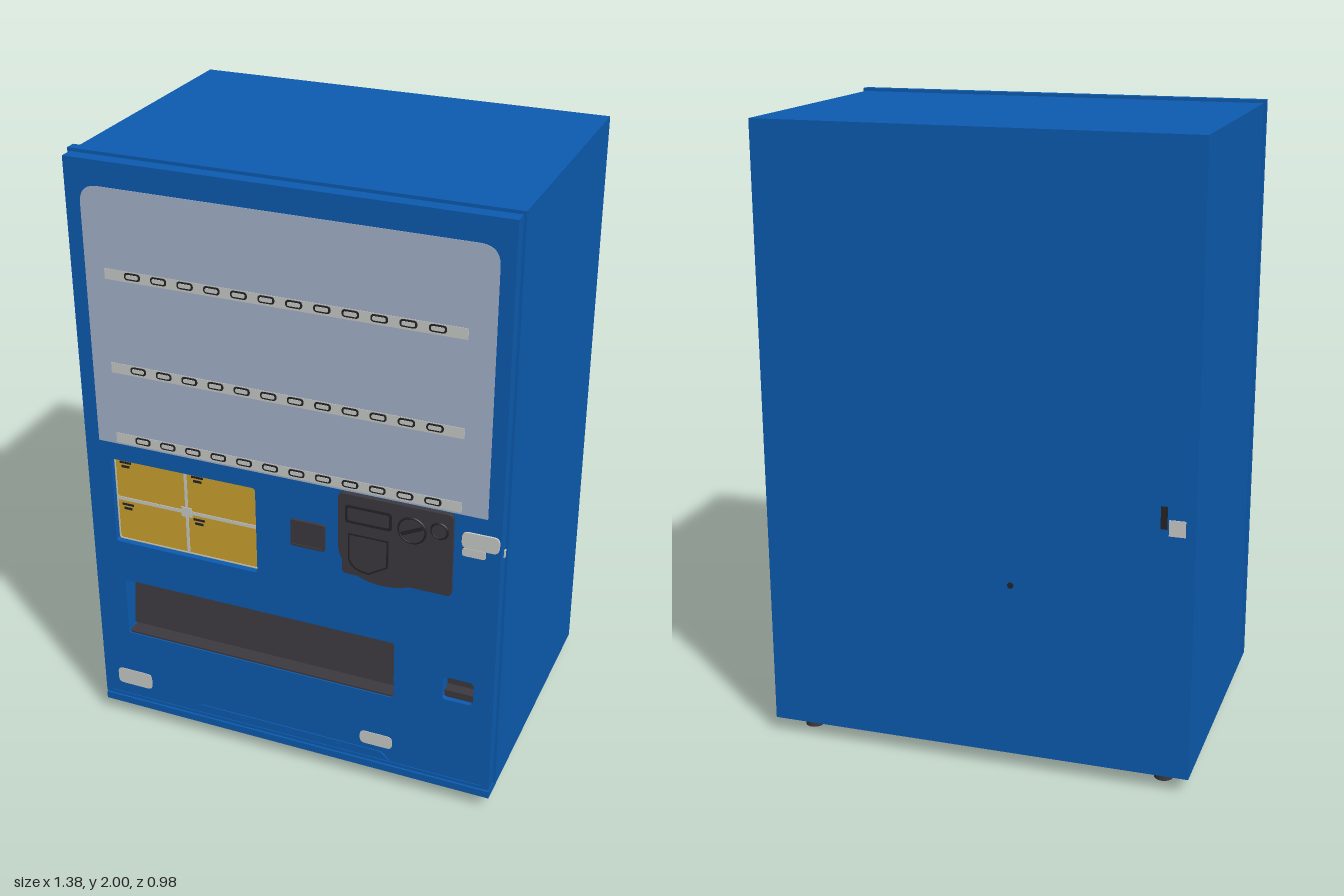
import * as THREE from 'three';

const mat = (name, color) => Object.assign(new THREE.MeshStandardMaterial({ color }), { name });

export function createModel() {
  const blue = mat('cabinetBlue', 0x0c5bb0);
  const glass = mat('windowGlass', 0xa6b4cc);
  const pale = mat('paleTrim', 0xcbcdca);
  const dark = mat('darkPlastic', 0x3c3a3f);
  const black = mat('blackDetail', 0x242326);
  const yellow = mat('yellowPanel', 0xcda52f);
  const root = new THREE.Group();
  root.name = 'vendingMachine';

  const add = (name, geo, material, x = 0, y = 0, z = 0, parent = root) => {
    const m = new THREE.Mesh(geo, material);
    m.name = name;
    m.position.set(x, y, z);
    parent.add(m);
    return m;
  };
  // Box given by its extents
  const box = (name, material, x0, x1, y0, y1, z0, z1) =>
    add(name, new THREE.BoxGeometry(x1 - x0, y1 - y0, z1 - z0), material,
      (x0 + x1) / 2, (y0 + y1) / 2, (z0 + z1) / 2);
  // Rounded rectangle; top and bottom corners may differ
  const rounded = (x0, x1, y0, y1, rt, rb = rt, S = THREE.Shape) => {
    const s = new S();
    s.moveTo(x0 + rb, y0).lineTo(x1 - rb, y0).quadraticCurveTo(x1, y0, x1, y0 + rb);
    s.lineTo(x1, y1 - rt).quadraticCurveTo(x1, y1, x1 - rt, y1);
    s.lineTo(x0 + rt, y1).quadraticCurveTo(x0, y1, x0, y1 - rt);
    s.lineTo(x0, y0 + rb).quadraticCurveTo(x0, y0, x0 + rb, y0);
    return s;
  };
  const rect = (x0, x1, y0, y1, S = THREE.Shape) => new S([
    new THREE.Vector2(x0, y0), new THREE.Vector2(x1, y0),
    new THREE.Vector2(x1, y1), new THREE.Vector2(x0, y1)]);
  // Shape extruded between two depths
  const slab = (name, material, shape, z0, z1) => add(name,
    new THREE.ExtrudeGeometry(shape, { depth: z1 - z0, bevelEnabled: false, curveSegments: 10 }),
    material, 0, 0, z0);
  // Outline frame: rounded rectangle minus a smaller one
  const frame = (name, material, x0, x1, y0, y1, w, r, z0, z1) => {
    const s = rounded(x0, x1, y0, y1, r);
    s.holes.push(rounded(x0 + w, x1 - w, y0 + w, y1 - w, r * 0.7, r * 0.7, THREE.Path));
    return slab(name, material, s, z0, z1);
  };

  // Cabinet, base ledge and feet
  box('cabinet', blue, -0.685, 0.685, 0.05, 1.99, -0.49, 0.39);
  box('baseLedge', blue, -0.685, 0.685, 0.05, 0.075, 0.39, 0.47);
  for (const x of [-0.59, 0.59]) for (const z of [-0.4, 0.37])
    add('foot', new THREE.CylinderGeometry(0.03, 0.03, 0.052, 20), dark, x, 0.026, z);

  // Door with openings, and the seal band around it
  const door = rect(-0.684, 0.684, 0.082, 1.99);
  door.holes.push(
    rounded(-0.6, -0.1, 0.705, 1.01, 0.012, 0.012, THREE.Path),
    rounded(-0.58, 0.36, 0.35, 0.56, 0.012, 0.012, THREE.Path),
    rounded(0.52, 0.62, 0.395, 0.48, 0.015, 0.015, THREE.Path));
  slab('door', blue, door, 0.39, 0.47);
  const band = rect(-0.692, 0.692, 0.082, 2);
  band.holes.push(rect(-0.683, 0.683, 0.09, 1.988, THREE.Path));
  slab('doorBand', blue, band, 0.392, 0.426);

  // Display window with button rails
  slab('window', glass, rounded(-0.635, 0.64, 1.07, 1.912, 0.06, 0.002), 0.47, 0.4715);
  for (const y of [1.643, 1.335, 1.093]) {
    box('buttonRail', pale, -0.57, 0.56, y - 0.017, y + 0.017, 0.4715, 0.473);
    for (let i = 0; i < 12; i++) {
      const x = -0.477 + i * 0.0863;
      slab('buttonRim', black, rounded(x - 0.026, x + 0.026, y - 0.009, y + 0.014, 0.011), 0.472, 0.4755);
      slab('button', pale, rounded(x - 0.02, x + 0.02, y - 0.004, y + 0.009, 0.006), 0.4755, 0.477);
    }
  }

  // Recessed yellow notice panel
  box('noticePanel', yellow, -0.6, -0.1, 0.705, 1.01, 0.391, 0.45);
  frame('noticeBorder', pale, -0.598, -0.102, 0.707, 1.008, 0.004, 0.01, 0.45, 0.452);
  box('noticeCrossBar', pale, -0.594, -0.106, 0.853, 0.865, 0.45, 0.452);
  box('noticeCrossPost', pale, -0.354, -0.344, 0.711, 1.004, 0.45, 0.4515);
  box('noticeCentre', pale, -0.367, -0.331, 0.842, 0.876, 0.45, 0.453);
  for (const x of [-0.56, -0.307]) for (const y of [0.987, 0.833]) {
    box('noticeMark', black, x - 0.02, x + 0.02, y + 0.002, y + 0.009, 0.45, 0.452);
    box('noticeMark', black, x - 0.014, x + 0.014, y - 0.013, y - 0.005, 0.45, 0.452);
  }

  // Delivery slot with leaning flap
  box('slotBack', dark, -0.58, 0.36, 0.35, 0.56, 0.3905, 0.4);
  const flap = box('slotFlap', dark, -0.575, 0.355, 0.37, 0.55, 0.415, 0.423);
  flap.rotation.x = -0.12;
  box('slotSill', dark, -0.58, 0.36, 0.35, 0.356, 0.395, 0.465);

  // Coin return cup
  box('returnCup', dark, 0.52, 0.62, 0.395, 0.48, 0.3905, 0.42);
  box('returnLip', dark, 0.522, 0.618, 0.396, 0.42, 0.42, 0.455);

  // Bill reader
  slab('billReader', dark, rounded(0.02, 0.132, 0.842, 0.934, 0.008), 0.465, 0.476);
  frame('billReaderFrame', dark, 0.02, 0.132, 0.842, 0.934, 0.007, 0.008, 0.476, 0.479);

  // Coin unit: backing plate and curved front plate
  slab('coinBacking', dark, rounded(0.19, 0.54, 0.785, 1.06, 0.015), 0.465, 0.48);
  const face = new THREE.Shape();
  face.moveTo(0.18, 0.88).bezierCurveTo(0.185, 0.81, 0.25, 0.77, 0.33, 0.772);
  face.bezierCurveTo(0.44, 0.775, 0.53, 0.86, 0.54, 0.96).lineTo(0.54, 1.05);
  face.quadraticCurveTo(0.54, 1.068, 0.522, 1.068).lineTo(0.198, 1.068);
  face.quadraticCurveTo(0.18, 1.068, 0.18, 1.05).lineTo(0.18, 0.88);
  slab('coinFace', dark, face, 0.465, 0.486);
  frame('coinDisplay', black, 0.203, 0.352, 0.972, 1.033, 0.008, 0.012, 0.486, 0.489);
  const pocket = new THREE.Shape();
  pocket.moveTo(0.212, 0.935).lineTo(0.212, 0.845).quadraticCurveTo(0.222, 0.803, 0.28, 0.802);
  pocket.lineTo(0.342, 0.84).lineTo(0.342, 0.935).lineTo(0.212, 0.935);
  slab('coinPocket', black, pocket, 0.486, 0.487);
  const inner = pocket.getPoints(10).map(p => new THREE.Vector2(0.277 + (p.x - 0.277) * 0.9, 0.873 + (p.y - 0.873) * 0.9));
  slab('coinPocketFace', dark, new THREE.Shape(inner), 0.486, 0.488);
  for (const [x, y, r] of [[0.415, 0.99, 0.046], [0.5, 1.008, 0.029]]) {
    add('dialRing', new THREE.TorusGeometry(r - 0.004, 0.004, 8, 32), black, x, y, 0.486);
    const knob = add('dial', new THREE.CylinderGeometry(r - 0.006, r - 0.006, 0.004, 32), dark, x, y, 0.487);
    knob.rotation.x = Math.PI / 2;
  }
  add('coinSlot', new THREE.BoxGeometry(0.075, 0.012, 0.003), black, 0.415, 0.99, 0.4895).rotation.z = 0.45;

  // Door lock handle at the left edge
  slab('lockPlate', pale, rounded(0.565, 0.68, 0.962, 1.016, 0.02), 0.47, 0.476);
  slab('lockCup', blue, rounded(0.558, 0.65, 0.915, 0.965, 0.012, 0.025), 0.47, 0.474);
  slab('lockCupFace', pale, rounded(0.568, 0.64, 0.935, 0.962, 0.008), 0.474, 0.477);
  box('lockSide', pale, 0.684, 0.688, 0.935, 0.96, 0.432, 0.442);

  // Lower labels and kick plate
  slab('label', pale, rounded(-0.632, -0.505, 0.135, 0.195, 0.018), 0.47, 0.472);
  slab('label', pale, rounded(0.248, 0.358, 0.145, 0.193, 0.018), 0.47, 0.472);
  const kick = new THREE.Shape([[-0.36, 0.1], [0.35, 0.1], [0.32, 0.127], [-0.32, 0.127]]
    .map(p => new THREE.Vector2(...p)));
  slab('kickPlate', blue, kick, 0.47, 0.474);
  for (const x of [-0.17, 0, 0.17]) box('kickRib', blue, x - 0.008, x + 0.008, 0.104, 0.118, 0.474, 0.476);
  box('kickStrip', blue, -0.66, 0.66, 0.084, 0.095, 0.47, 0.473);

  // Rear power outlet hardware
  box('rearOutlet', pale, -0.655, -0.605, 0.83, 0.88, -0.493, -0.489);
  box('rearSlot', black, -0.6, -0.58, 0.85, 0.92, -0.493, -0.489);
  const plug = add('rearPlug', new THREE.CylinderGeometry(0.01, 0.01, 0.004, 12), black, -0.12, 0.615, -0.491);
  plug.rotation.x = Math.PI / 2;

  return root;
}
